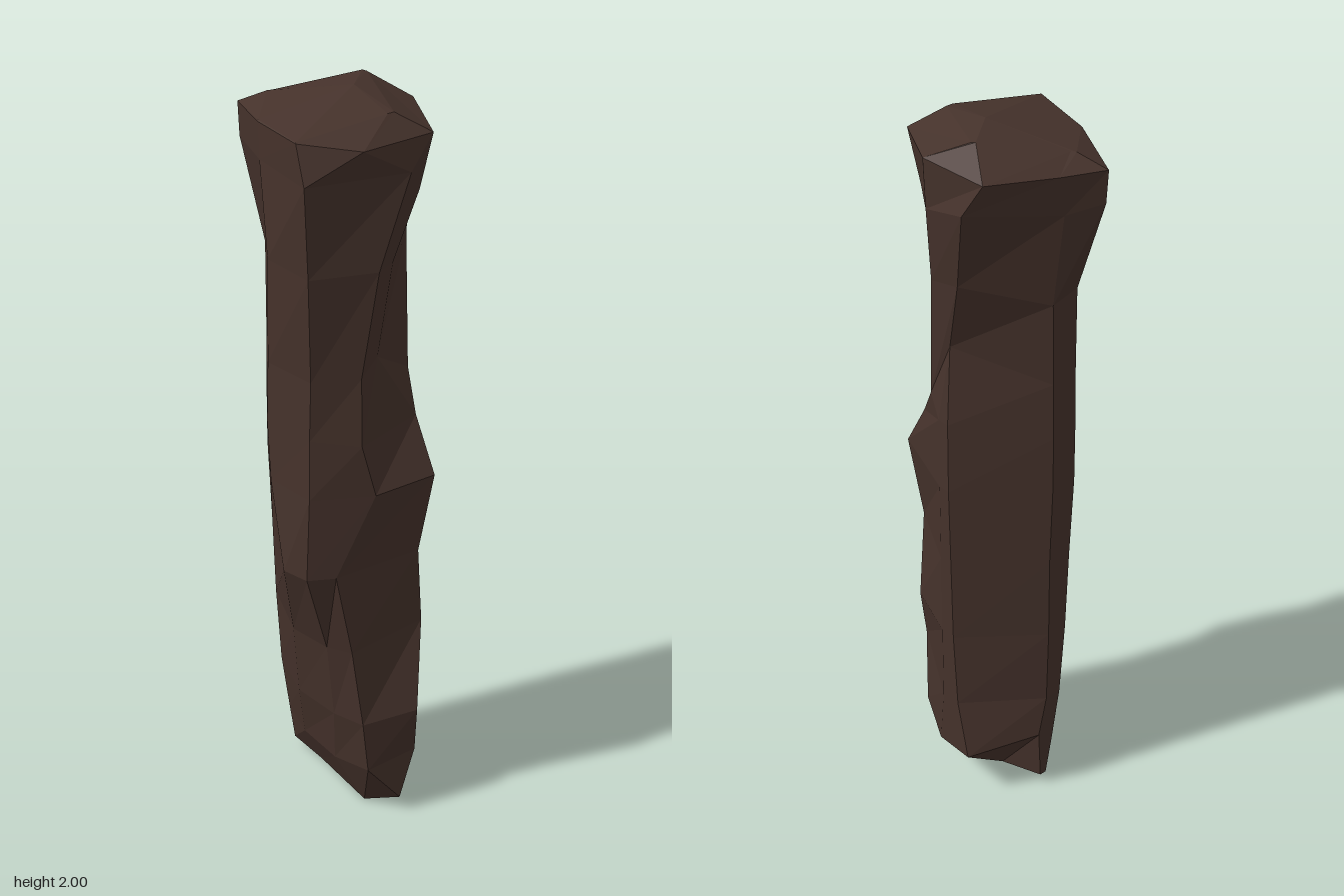
import * as THREE from 'three';

// Each level is a height plus an eight-sided outline of [x, z, optional lift], ordered
// back-left, back, back-right, right, front-right, front-left, left, left-back.
const summit = { y: 1.95, ring: [[-.05, -.2, .005], [-.04, -.19, .007], [.15, -.07, .047], [.155, -.06, .045], [.04, .165, .022], [.02, .165, .022], [-.222, .112, -.008], [-.176, -.082, -.012]] };
const crownTop = { y: 1.93, ring: [[-.09, -.268, -.01], [.03, -.228, -.005], [.212, -.165, .01], [.22, .04, .01], [.115, .225, -.01], [-.105, .22, -.01], [-.225, .115, .01], [-.18, -.08, .005]] };
const neck = { y: 1.6, ring: [[-.08, -.18, -.03], [0, -.18, -.05], [.195, -.05, .02], [.185, .06, -.01], [.02, .19], [-.05, .218], [-.215, .145], [-.2, -.025]] };
const hip = { y: .53, ring: [[-.06, -.18], [0, -.18], [.2, -.02], [.2, .025], [.14, .19], [-.115, .197], [-.145, .13], [-.15, 0]] };

const crown = [
  neck,
  { y: 1.84, ring: [[-.09, -.262, -.01], [0, -.215, -.03], [.235, -.115, .01], [.21, .045, -.04], [.1, .195, -.07], [.035, .235], [-.23, .15], [-.18, -.075]] },
  crownTop,
  summit,
];

const shaft = [
  hip,
  { y: .77, ring: [[-.07, -.18], [0, -.18], [.2, -.015], [.2, .025], [.1, .215], [-.16, .185], [-.225, .145], [-.235, .065]] },
  { y: 1, ring: [[-.08, -.183], [-.005, -.183], [.2, -.01], [.2, .025], [.12, .25], [-.07, .235], [-.215, .145], [-.212, -.01]] },
  { y: 1.16, ring: [[-.08, -.183], [-.005, -.183], [.195, -.005, .04], [.195, .03, .04], [.13, .165, -.02], [-.1, .215, -.02], [-.205, .135], [-.205, -.03]] },
  { y: 1.32, ring: [[-.08, -.18], [-.005, -.18], [.175, .005, .1], [.165, .095, -.08], [-.015, .175, .03], [-.09, .2], [-.2, .135], [-.2, -.03]] },
  neck,
];

const foot = [
  { y: 0, ring: [[-.005, -.17, .03], [.015, -.17, .03], [.05, -.05, .02], [.06, .06, .01], [.06, .15], [.035, .228, .015], [-.03, .155], [-.01, -.05, .02]] },
  { y: .14, ring: [[-.02, -.175], [.03, -.178, .05], [.2, -.075], [.2, .04], [.11, .205, -.01], [-.085, .23, .02], [-.09, .1], [-.07, -.05]] },
  { y: .31, ring: [[-.045, -.178], [.005, -.18], [.2, -.035], [.2, .025], [.06, .265], [-.1, .225], [-.12, .13], [-.115, -.02]] },
  hip,
];

// Skins neighbouring levels, with optional fans closing the ends
function skin(levels, { bottom, top } = {}) {
  const rings = levels.map(({ y, ring }) => ring.map(([x, z, lift = 0]) => [x, y + lift, z]));
  const sides = rings[0].length;
  const last = rings[rings.length - 1];
  const positions = [];
  const tri = (...corners) => corners.forEach((c) => positions.push(...c));
  for (let i = 0; i < sides; i++) {
    const j = (i + 1) % sides;
    for (let k = 0; k < rings.length - 1; k++) {
      const low = rings[k], up = rings[k + 1];
      tri(low[j], low[i], up[i]);
      tri(low[j], up[i], up[j]);
    }
    if (bottom) tri(bottom, rings[0][i], rings[0][j]);
    if (top) tri(top, last[j], last[i]);
  }
  const geometry = new THREE.BufferGeometry();
  geometry.setAttribute('position', new THREE.Float32BufferAttribute(positions, 3));
  geometry.computeVertexNormals();
  return geometry;
}

export function createModel() {
  const group = new THREE.Group();
  group.name = 'rockPillar';
  const stone = new THREE.MeshStandardMaterial({ color: 0x45322b, flatShading: true });
  const add = (name, geometry) => {
    const mesh = new THREE.Mesh(geometry, stone);
    mesh.name = name;
    group.add(mesh);
  };

  add('pillarFoot', skin(foot, { bottom: [.02, .005, .05] })); // wedge-shaped base
  add('pillarShaft', skin(shaft)); // faceted middle with a front bulge
  add('pillarCrown', skin(crown, { top: [.05, 2, .01] })); // flared, sloping top
  return group;
}
